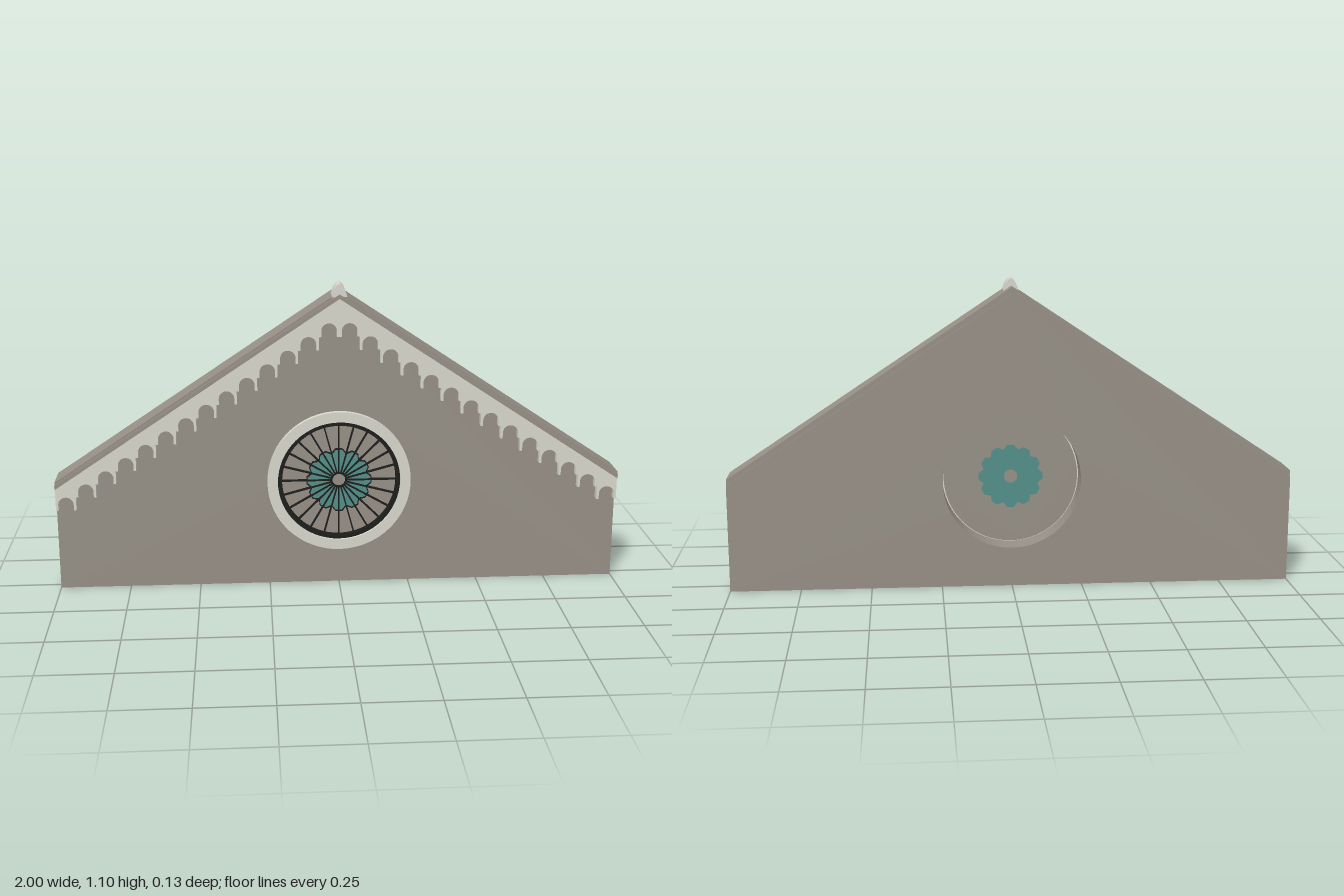
import * as THREE from 'three';

const SLOPE = 0.665;
const CY = 0.385; // height of the round window's centre

const mat = (name, color) => Object.assign(new THREE.MeshStandardMaterial({ color }), { name });

export function createModel() {
  const stone = mat('taupe stone', 0x979087);
  const cream = mat('cream trim', 0xd8d8ce);
  const teal = mat('teal glass', 0x54908a);
  const black = mat('black iron', 0x1d1d1c);
  const model = new THREE.Group();
  model.name = 'gable';

  const add = (name, geometry, material, parent = model) => {
    const mesh = new THREE.Mesh(geometry, material);
    mesh.name = name;
    parent.add(mesh);
    return mesh;
  };
  // Extrudes a shape between two z planes
  const slab = (shape, z0, z1, curveSegments = 32) =>
    new THREE.ExtrudeGeometry(shape, { depth: z1 - z0, bevelEnabled: false, curveSegments }).translate(0, 0, z0);
  const polygon = (pts) => new THREE.Shape(pts.map(([x, y]) => new THREE.Vector2(x, y)));
  const disc = (r, y = 0) => new THREE.Shape().absarc(0, y, r, 0, Math.PI * 2, false);
  const ring = (outer, inner) => {
    const s = disc(outer);
    s.holes.push(new THREE.Path().absarc(0, 0, inner, 0, Math.PI * 2, true));
    return s;
  };
  // Band that follows both slopes of the gable
  const chevron = (top, bottom) => polygon([
    [-1, bottom - SLOPE], [0, bottom], [1, bottom - SLOPE],
    [1, top - SLOPE], [0, top], [-1, top - SLOPE],
  ]);

  // Wall with the round opening
  const wall = polygon([[-1, 0], [1, 0], [1, 1.05 - SLOPE], [0, 1.05], [-1, 1.05 - SLOPE]]);
  wall.holes.push(new THREE.Path().absarc(0, CY, 0.245, 0, Math.PI * 2, true));
  add('wall', slab(wall, -0.065, 0.03), stone);

  // Roof capping and mouldings
  add('roofCap', slab(chevron(1.07, 1.05), -0.058, 0.058), stone);
  add('frontMoulding', slab(chevron(1.06, 1.045), 0.03, 0.065), stone);
  add('creamMoulding', slab(chevron(1.045, 1.033), 0.03, 0.06), cream);

  // Bargeboard: a stepped row of round arches under each slope
  const COUNT = 14, PITCH = 1 / COUNT, R = 0.027;
  const board = new THREE.Shape();
  board.moveTo(-1, 1.04 - SLOPE);
  for (let i = 0; i < COUNT * 2; i++) {
    const x = -1 + (i + 0.5) * PITCH;
    const foot = 0.934 - 0.657 * Math.abs(x);
    board.lineTo(x - PITCH / 2, foot);
    board.lineTo(x - R, foot);
    board.lineTo(x - R, foot + 0.021);
    board.absarc(x, foot + 0.021, R, Math.PI, 0, true);
    board.lineTo(x + R, foot);
    board.lineTo(x + PITCH / 2, foot);
  }
  board.lineTo(1, 1.04 - SLOPE);
  board.lineTo(0, 1.04);
  add('bargeboard', slab(board, 0.03, 0.055, 8), cream);

  // Ridge finial with a rounded tip
  const finial = new THREE.Shape();
  finial.moveTo(-0.027, 1.05);
  finial.lineTo(0.027, 1.05);
  finial.quadraticCurveTo(0.019, 1.08, 0.009, 1.09);
  finial.quadraticCurveTo(0, 1.1, -0.009, 1.09);
  finial.quadraticCurveTo(-0.019, 1.08, -0.027, 1.05);
  add('finial', slab(finial, -0.015, 0.06, 6), cream);

  // Round window
  const win = new THREE.Group();
  win.name = 'roundWindow';
  win.position.y = CY;
  model.add(win);
  add('windowSurround', slab(ring(0.255, 0.218), 0.024, 0.05), cream, win);
  add('windowPanel', slab(disc(0.24), 0.012, 0.02), stone, win);
  add('ironRing', slab(ring(0.219, 0.203), 0.02, 0.04), black, win);

  // Scalloped rosette, seen on both faces of the panel
  const PETALS = 12;
  const tip = (a, r) => [Math.sin(a) * r, Math.cos(a) * r];
  const outline = [];
  for (let i = 0; i < PETALS; i++) {
    const a = (i / PETALS) * Math.PI * 2, step = Math.PI / PETALS;
    outline.push(tip(a - step, 0.1), tip(a - step * 0.4, 0.115), tip(a + step * 0.4, 0.115));
  }
  const rosette = polygon(outline);
  rosette.holes.push(new THREE.Path().absarc(0, 0, 0.024, 0, Math.PI * 2, true));
  add('rosetteFront', slab(rosette, 0.02, 0.025), teal, win);
  add('rosetteBack', slab(rosette, 0.009, 0.012), teal, win);

  // Iron spokes and petal outlines
  const bar = (name, [x0, y0], [x1, y1], width) => {
    const length = Math.hypot(x1 - x0, y1 - y0);
    const m = add(name, new THREE.BoxGeometry(width, length, 0.012), black, win);
    m.position.set((x0 + x1) / 2, (y0 + y1) / 2, 0.026);
    m.rotation.z = -Math.atan2(x1 - x0, y1 - y0);
  };
  for (let i = 0; i < PETALS * 2; i++) {
    const a = (i / PETALS) * Math.PI;
    bar('spoke', tip(a, 0.026), tip(a, 0.207), 0.005);
  }
  outline.forEach((p, i) => bar('petalOutline', p, outline[(i + 1) % outline.length], 0.003));
  add('hubRing', slab(ring(0.028, 0.023), 0.02, 0.032), black, win);

  return model;
}
